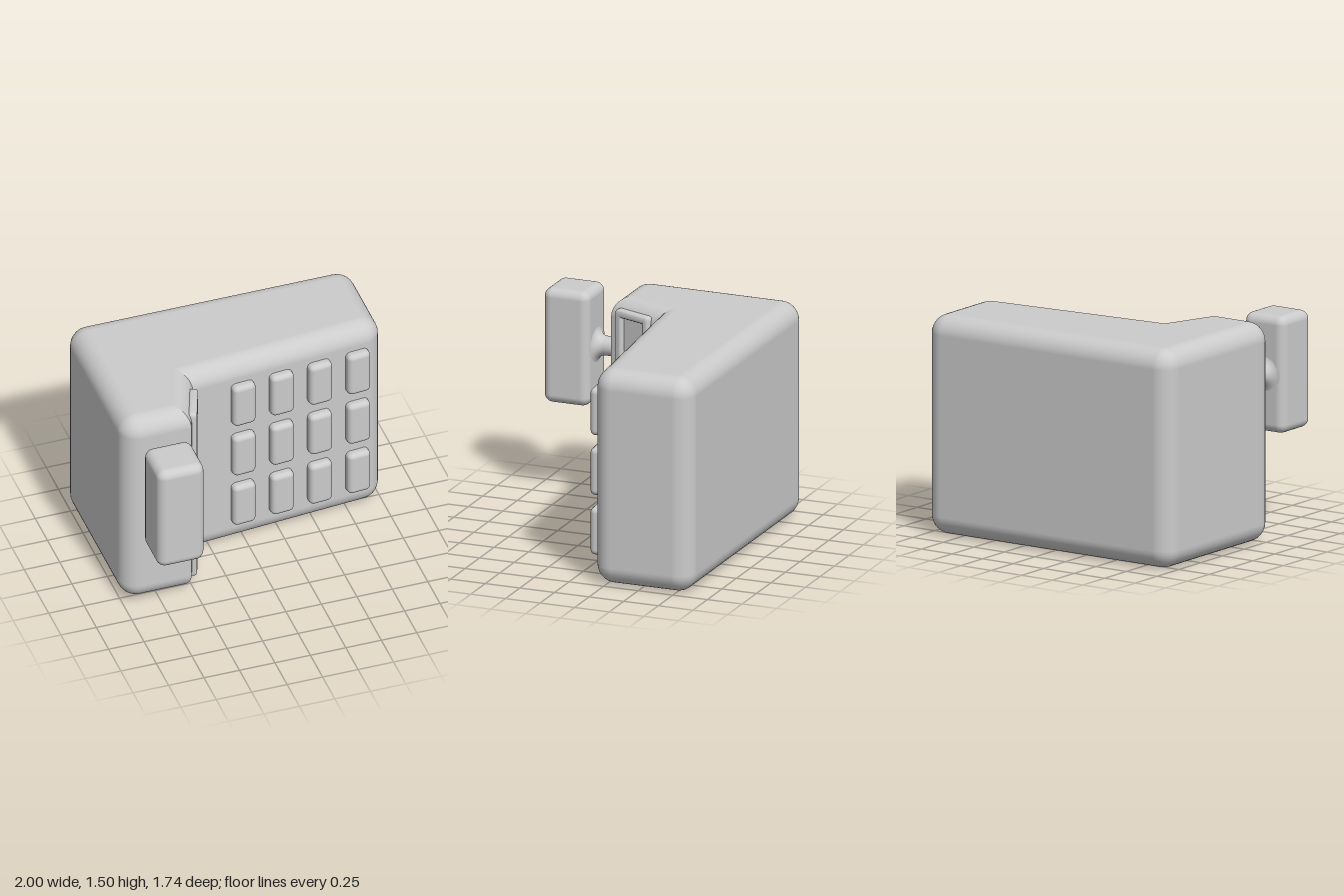
import * as THREE from 'three';
import { toCreasedNormals } from 'three/addons/utils/BufferGeometryUtils.js';
import { RoundedBoxGeometry } from 'three/addons/geometries/RoundedBoxGeometry.js';

const material = new THREE.MeshStandardMaterial({ color: 0xcccccc });
const V = (x, y) => new THREE.Vector2(x, y);

function addMesh(parent, name, geometry, x = 0, y = 0, z = 0) {
  const mesh = new THREE.Mesh(geometry, material);
  mesh.name = name;
  mesh.position.set(x, y, z);
  parent.add(mesh);
  return mesh;
}

// Upright prism over an x-z outline: rims rounded by r, marked corners rounded by r, others mitred
function roundedPrism(corners, height, r, steps = 8) {
  const n = corners.length;
  const pts = corners.map(([x, z]) => V(x, z));
  const normals = pts.map((p, i) => {
    const d = pts[(i + 1) % n].clone().sub(p).normalize();
    return V(d.y, -d.x);
  });
  const core = [], ring = [];
  pts.forEach((p, i) => {
    const a = normals[(i + n - 1) % n], b = normals[i];
    const mitre = a.clone().add(b).divideScalar(1 + a.dot(b));
    const c = p.clone().addScaledVector(mitre, -r);
    core.push(c);
    if (corners[i][2]) {
      const start = Math.atan2(a.y, a.x), turn = Math.acos(a.dot(b));
      for (let k = 0; k <= steps; k++) {
        const t = start + turn * k / steps, u = V(Math.cos(t), Math.sin(t));
        ring.push({ c, offset: u, normal: u });
      }
    } else {
      ring.push({ c, offset: mitre, normal: a }, { c, offset: mitre, normal: b });
    }
  });

  // stacked rings: lower rounding, straight wall, upper rounding
  const position = [], normal = [], index = [];
  const layers = 2 * steps + 2, m = ring.length;
  for (let j = 0; j < layers; j++) {
    const top = j > steps;
    const t = (top ? j - steps - 1 : j - steps) / steps * Math.PI / 2;
    const y = (top ? height - r : r) + r * Math.sin(t);
    const s = Math.cos(t);
    for (const q of ring) {
      position.push(q.c.x + q.offset.x * r * s, y, q.c.y + q.offset.y * r * s);
      normal.push(q.normal.x * s, Math.sin(t), q.normal.y * s);
    }
  }
  for (let j = 0; j < layers - 1; j++) {
    for (let i = 0; i < m; i++) {
      const a0 = j * m + i, a1 = j * m + (i + 1) % m;
      index.push(a0, a0 + m, a1, a1, a0 + m, a1 + m);
    }
  }

  // flat caps
  const tris = THREE.ShapeUtils.triangulateShape(core, []);
  for (const up of [false, true]) {
    const base = position.length / 3;
    for (const c of core) {
      position.push(c.x, up ? height : 0, c.y);
      normal.push(0, up ? 1 : -1, 0);
    }
    for (const [a, b, c] of tris) {
      const down = THREE.ShapeUtils.area([core[a], core[b], core[c]]) > 0;
      if (down !== up) index.push(base + a, base + b, base + c);
      else index.push(base + a, base + c, base + b);
    }
  }
  const g = new THREE.BufferGeometry();
  g.setAttribute('position', new THREE.Float32BufferAttribute(position, 3));
  g.setAttribute('normal', new THREE.Float32BufferAttribute(normal, 3));
  g.setIndex(index);
  return g;
}

function rectanglePath(path, w, h) {
  return path.moveTo(-w / 2, -h / 2).lineTo(w / 2, -h / 2)
    .lineTo(w / 2, h / 2).lineTo(-w / 2, h / 2).closePath();
}

// Rectangular trim with rounded bars and mitred corners
function frameGeometry(w, h, bar, depth) {
  const shape = new THREE.Shape(), r = 0.03;
  const x = w / 2, y = h / 2;
  shape.moveTo(-x + r, -y).lineTo(x - r, -y).quadraticCurveTo(x, -y, x, -y + r)
    .lineTo(x, y - r).quadraticCurveTo(x, y, x - r, y)
    .lineTo(-x + r, y).quadraticCurveTo(-x, y, -x, y - r)
    .lineTo(-x, -y + r).quadraticCurveTo(-x, -y, -x + r, -y);
  shape.holes.push(rectanglePath(new THREE.Path(), w - 2 * bar, h - 2 * bar));
  const bevel = 0.022;
  const g = new THREE.ExtrudeGeometry(shape, {
    depth: depth - 2 * bevel, bevelEnabled: true, bevelThickness: bevel,
    bevelSize: bevel, bevelOffset: -bevel, bevelSegments: 5, curveSegments: 5,
  });
  g.translate(0, 0, bevel);
  return toCreasedNormals(g, 0.6);
}

export function createModel() {
  const model = new THREE.Group();
  model.name = 'keypadHandset';

  // Body: third value marks a rounded corner
  addMesh(model, 'body', roundedPrism([
    [-1, -0.87, true], [1, -0.87, true], [1, -0.174, true],
    [-0.38, -0.05, false], [-0.52, 0.33, false], [-1, 0.33, true],
  ], 1.5, 0.13));

  // Trim frame on the slanted inner face
  const frame = addMesh(model, 'slotFrame', frameGeometry(0.3, 1.37, 0.057, 0.065), -0.448, 0.755, 0.135);
  frame.rotation.y = Math.atan2(0.938, 0.346);
  frame.translateZ(-0.03);

  // Keys on the sloping front panel
  const keys = new THREE.Group();
  keys.name = 'keys';
  model.add(keys);
  const slope = 0.09;
  const keyGeometry = new RoundedBoxGeometry(0.165, 0.33, 0.12, 4, 0.035);
  for (const y of [1.17, 0.752, 0.335]) {
    for (let i = 0; i < 4; i++) {
      const x = -0.022 + 0.278 * i;
      const key = addMesh(keys, 'key', keyGeometry, x, y, -0.05 - slope * (x + 0.38));
      key.rotation.y = Math.atan(slope);
    }
  }

  // Handle block on a flared stem
  addMesh(model, 'handle', new RoundedBoxGeometry(0.33, 0.8, 0.33, 5, 0.06), -0.77, 1.07, 0.7);
  const profile = [V(0.066, 0)];
  for (let k = 0; k <= 8; k++) {
    const t = k / 8 * Math.PI / 2;
    profile.push(V(0.136 - 0.07 * Math.cos(t), 0.165 + 0.07 * Math.sin(t)));
  }
  const stem = addMesh(model, 'handleStem', new THREE.LatheGeometry(profile, 32), -0.77, 1.07, 0.302);
  stem.rotation.x = Math.PI / 2;

  return model;
}
